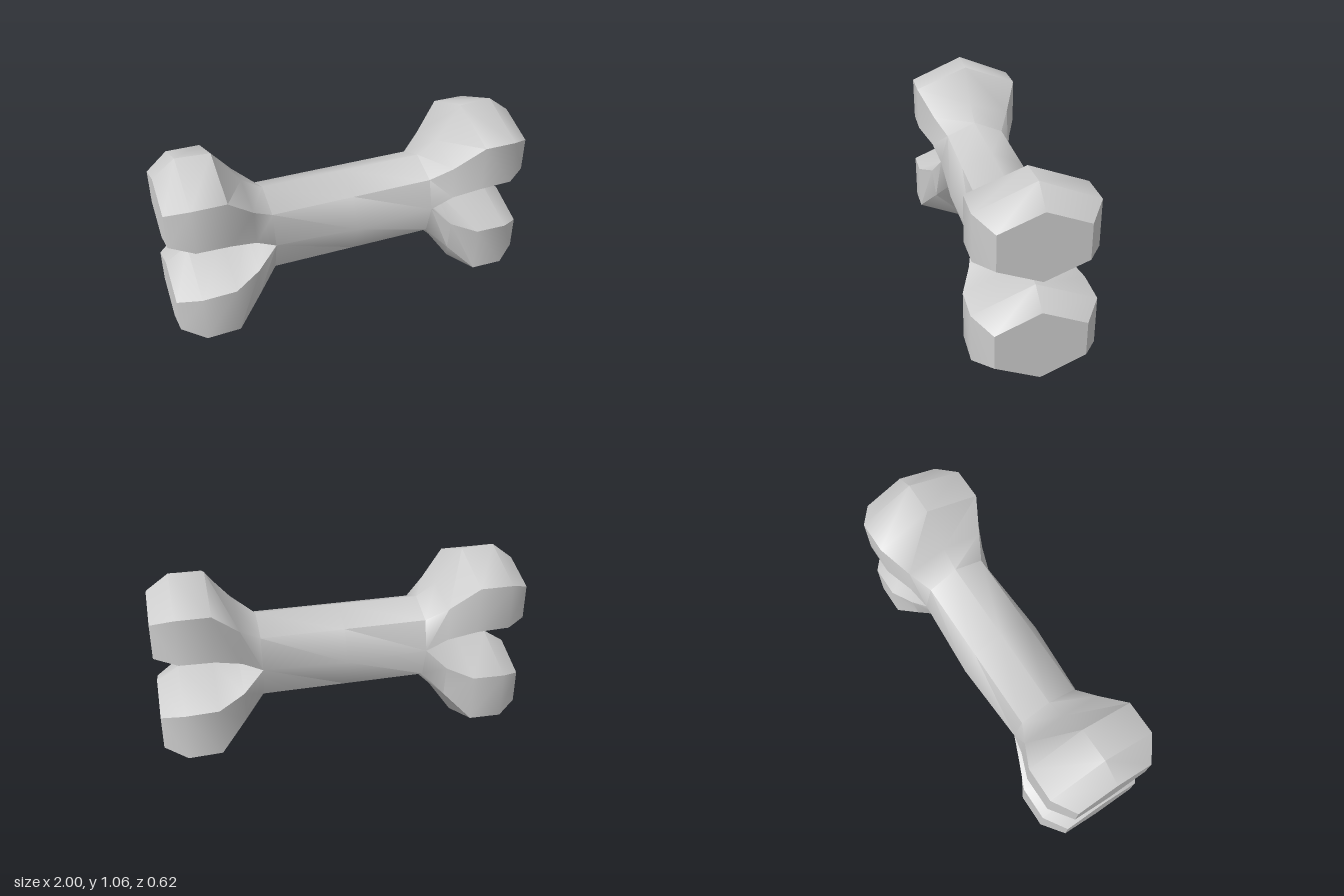
import * as THREE from 'three';
import { toCreasedNormals } from 'three/addons/utils/BufferGeometryUtils.js';

// Hexagonal section of a knuckle: [x, top, upper side, lower side, bottom, upper half width, lower half width]
const hexRing = ([x, top, up, low, bottom, wu, wl]) => [
  [x, top, 0], [x, up, wu], [x, low, wl], [x, bottom, 0], [x, low, -wl], [x, up, -wu],
];

// Octagonal section of the shaft; w is the half width at mid height
const shaftRing = (x, w) => [
  [x, 0.79, 0], [x, 0.72, 0.165], [x, 0.555, w], [x, 0.385, 0.165],
  [x, 0.32, 0], [x, 0.385, -0.165], [x, 0.555, -w], [x, 0.72, -0.165],
];

// Sections run from the shaft to the outer end
const upperKnuckle = [
  [0.45, 0.79, 0.72, 0.555, 0.555, 0.165, 0.21],
  [0.56, 0.86, 0.80, 0.625, 0.557, 0.225, 0.24],
  [0.70, 1.05, 0.935, 0.685, 0.562, 0.30, 0.30],
  [0.88, 1.06, 0.935, 0.69, 0.568, 0.30, 0.30],
  [1.00, 0.97, 0.885, 0.70, 0.615, 0.217, 0.217],
];
const lowerKnuckle = [
  [0.45, 0.555, 0.555, 0.385, 0.32, 0.21, 0.165],
  [0.56, 0.545, 0.45, 0.275, 0.21, 0.25, 0.23],
  [0.70, 0.53, 0.40, 0.14, 0.012, 0.31, 0.31],
  [0.88, 0.523, 0.395, 0.135, 0.0, 0.31, 0.31],
  [1.00, 0.445, 0.35, 0.165, 0.07, 0.225, 0.225],
];

function createBoneGeometry() {
  const positions = [];
  // Triangle, mirrored in x for side = -1 with its winding kept outward
  const tri = (side, a, b, c) => {
    for (const p of side > 0 ? [a, b, c] : [a, c, b]) positions.push(p[0] * side, p[1], p[2]);
  };
  // Skin joining successive rings, with an optional flat cap on the last
  const loft = (rings, side, capped) => {
    const n = rings[0].length;
    for (let r = 0; r < rings.length - 1; r++) {
      const a = rings[r], b = rings[r + 1];
      for (let i = 0; i < n; i++) {
        const j = (i + 1) % n;
        tri(side, a[i], a[j], b[j]);
        tri(side, a[i], b[j], b[i]);
      }
    }
    if (capped) {
      const end = rings[rings.length - 1];
      for (let i = 1; i < n - 1; i++) tri(side, end[0], end[i], end[i + 1]);
    }
  };

  loft([shaftRing(-0.45, 0.21), shaftRing(0, 0.235), shaftRing(0.45, 0.21)], 1, false);
  for (const side of [1, -1]) {
    for (const knuckle of [upperKnuckle, lowerKnuckle]) loft(knuckle.map(hexRing), side, true);
  }

  const geometry = new THREE.BufferGeometry();
  geometry.setAttribute('position', new THREE.Float32BufferAttribute(positions, 3));
  return toCreasedNormals(geometry, THREE.MathUtils.degToRad(48));
}

export function createModel() {
  const group = new THREE.Group();
  group.name = 'bone';
  // Shaft and four knuckles as one continuous skin
  const body = new THREE.Mesh(createBoneGeometry(), new THREE.MeshStandardMaterial({ color: 0xcccccc }));
  body.name = 'boneBody';
  group.add(body);
  return group;
}
